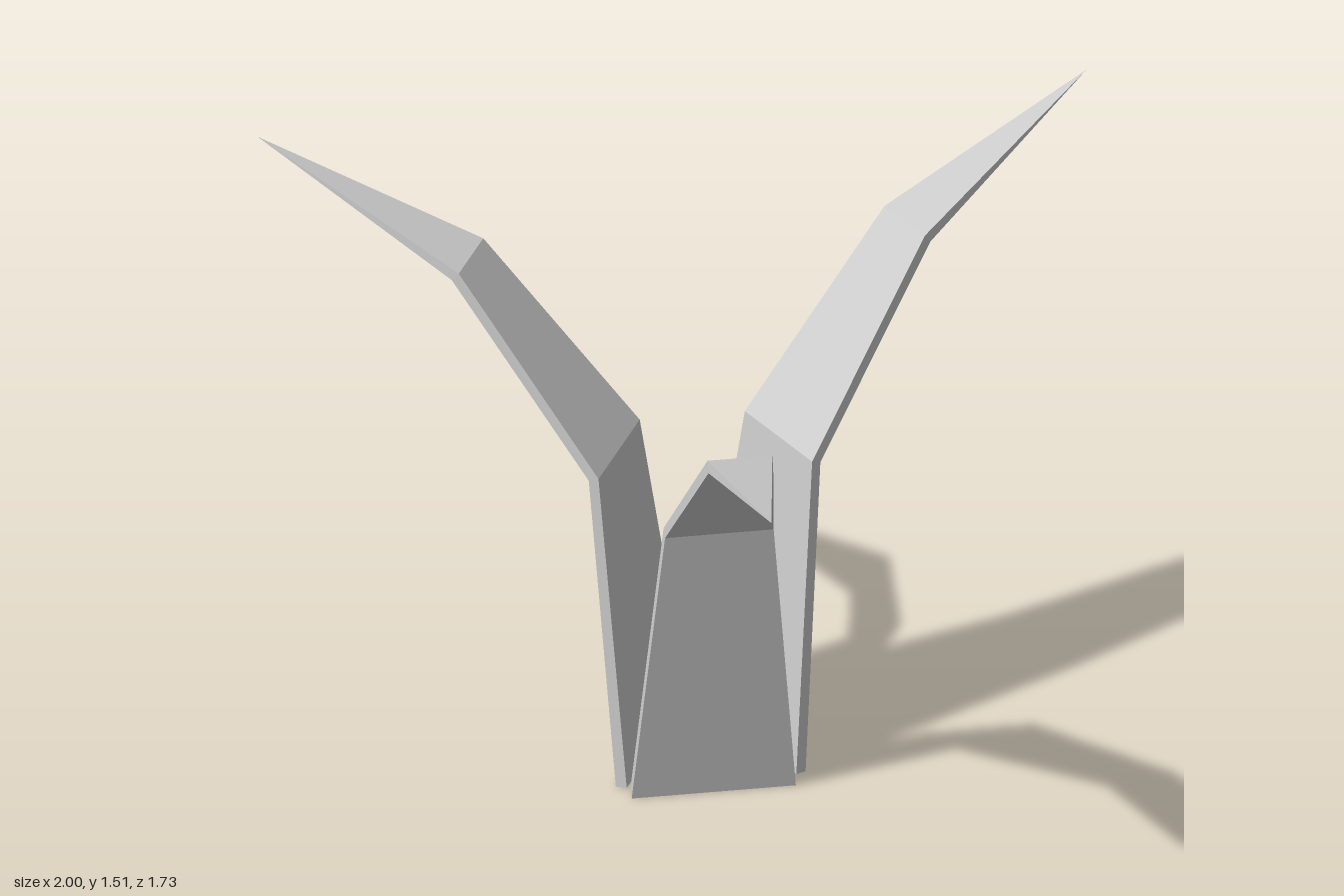
import * as THREE from 'three';

// Cross-sections from base to tip: half width, outer [r, y], inner [r, y]
const SECTIONS = [
  { w: 0.198, outer: [0.150, 0.0], inner: [0.122, 0.004] },
  { w: 0.131, outer: [0.247, 0.83], inner: [0.222, 0.842] },
  { w: 0.078, outer: [0.622, 1.284], inner: [0.604, 1.308] },
  { w: 0, outer: [1.155, 1.51], inner: [1.155, 1.51] },
];

// One thick, bent blade leaning towards +z and tapering to a point
function bladeGeometry() {
  const rings = SECTIONS.map(({ w, outer, inner }) => [
    [-w, outer[1], outer[0]],
    [w, outer[1], outer[0]],
    [w, inner[1], inner[0]],
    [-w, inner[1], inner[0]],
  ]);
  const positions = [];
  const tri = (a, b, c) => positions.push(...a, ...b, ...c);
  const last = rings.length - 2;

  for (let s = 0; s <= last; s++) {
    for (let i = 0; i < 4; i++) {
      const j = (i + 1) % 4;
      const low = rings[s], high = rings[s + 1];
      // The final section closes to a point with single triangles
      tri(low[i], low[j], high[j]);
      if (s < last) tri(low[i], high[j], high[i]);
    }
  }

  // Base cap
  const base = rings[0];
  tri(base[0], base[3], base[2]);
  tri(base[0], base[2], base[1]);

  const geometry = new THREE.BufferGeometry();
  geometry.setAttribute('position', new THREE.Float32BufferAttribute(positions, 3));
  geometry.computeVertexNormals();
  return geometry;
}

export function createModel() {
  const group = new THREE.Group();
  group.name = 'threeBladedSculpture';
  const geometry = bladeGeometry();
  const material = new THREE.MeshStandardMaterial({ color: 0xcccccc, flatShading: true });

  // Three blades spread evenly around a shared axis
  ['frontBlade', 'leftBlade', 'rightBlade'].forEach((name, i) => {
    const blade = new THREE.Mesh(geometry, material);
    blade.name = name;
    blade.rotation.y = (i * Math.PI * 2) / 3;
    blade.position.z = -0.289;
    group.add(blade);
  });
  return group;
}
